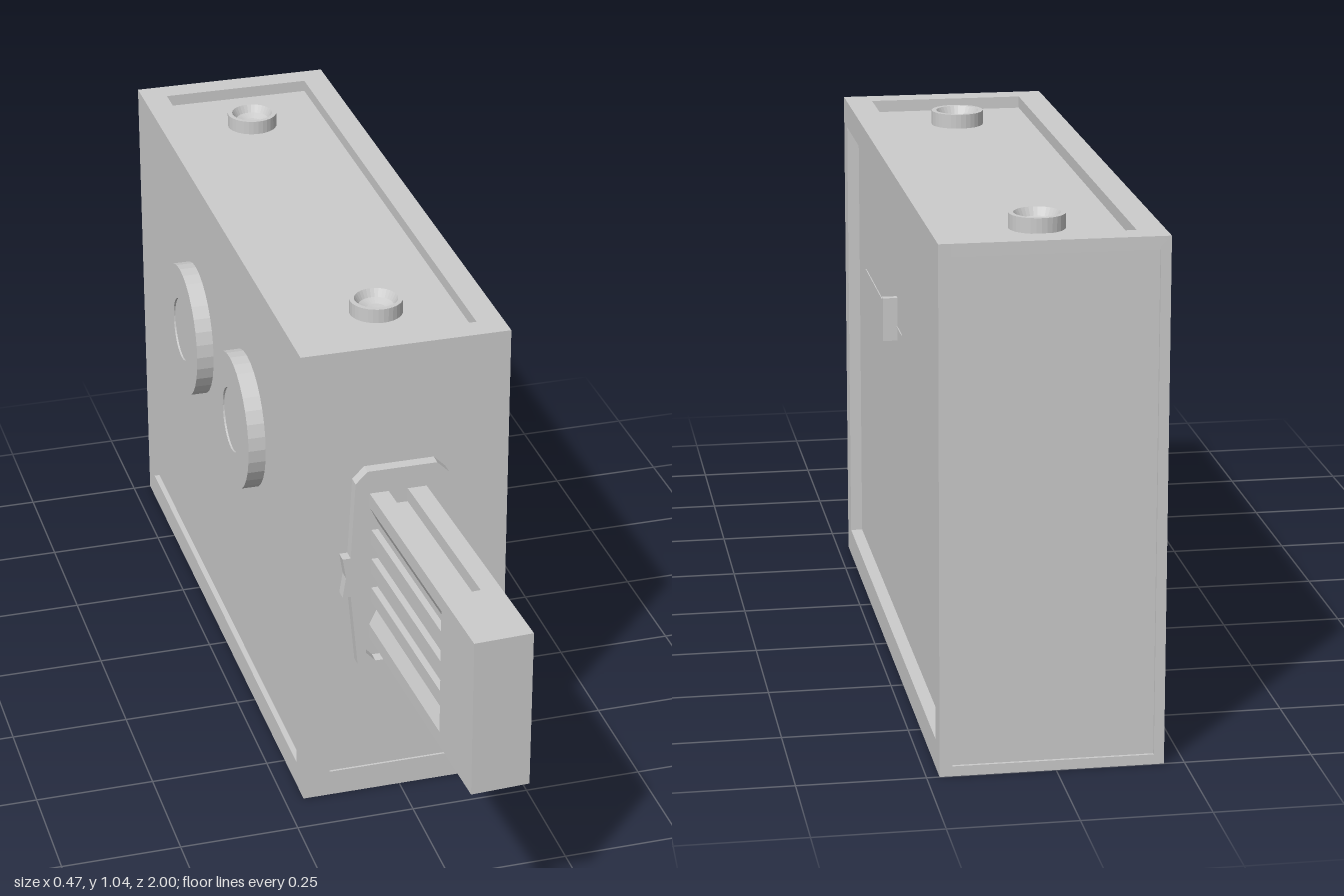
import * as THREE from 'three';

const mat = new THREE.MeshStandardMaterial({ color: 0xcccccc, flatShading: true });

function mesh(name, geometry, x = 0, y = 0, z = 0) {
  const m = new THREE.Mesh(geometry, mat);
  m.name = name;
  m.position.set(x, y, z);
  return m;
}

const points = (list) => list.map(([x, y]) => new THREE.Vector2(x, y));
const extrude = (shape, depth) => new THREE.ExtrudeGeometry(shape, { depth, bevelEnabled: false });

// Rectangular rim of given border width, centred, rising along +z
function rim(w, h, bx, by, depth) {
  const rect = (a, b) => points([[-a, -b], [a, -b], [a, b], [-a, b]]);
  const shape = new THREE.Shape(rect(w / 2, h / 2));
  shape.holes.push(new THREE.Path(rect(w / 2 - bx, h / 2 - by)));
  return extrude(shape, depth);
}

// Case limits and how far each panel sits below its rim
const X0 = -0.21, X1 = 0.225, H = 1.04, Z0 = -1, Z1 = 0.4;
const W = X1 - X0, D = Z1 - Z0, CX = (X0 + X1) / 2, CZ = (Z0 + Z1) / 2;
const inset = { left: 0.025, right: 0.012, top: 0.025, bottom: 0.02, front: 0.005, back: 0.006 };

function createCase() {
  const g = new THREE.Group();
  g.name = 'case';
  const w = W - inset.left - inset.right, h = H - inset.top - inset.bottom, d = D - inset.front - inset.back;
  g.add(mesh('panels', new THREE.BoxGeometry(w, h, d),
    X0 + inset.right + w / 2, inset.bottom + h / 2, Z0 + inset.back + d / 2));

  const addRim = (name, geometry, pos, rx, ry) => {
    const m = mesh(name, geometry, ...pos);
    m.rotation.set(rx, ry, 0);
    g.add(m);
  };
  const q = Math.PI / 2;
  addRim('leftRim', rim(D, H, 0.053, 0.057, inset.left), [X1 - inset.left, H / 2, CZ], 0, q);
  addRim('rightRim', rim(D, H, 0.053, 0.057, inset.right), [X0 + inset.right, H / 2, CZ], 0, -q);
  addRim('topRim', rim(W, D, 0.055, 0.055, inset.top), [CX, H - inset.top, CZ], -q, 0);
  addRim('bottomRim', rim(W, D, 0.055, 0.055, inset.bottom), [CX, inset.bottom, CZ], q, 0);
  addRim('frontRim', rim(W, H, 0.057, 0.057, inset.front), [CX, H / 2, Z1 - inset.front], 0, 0);
  addRim('backRim', rim(W, H, 0.02, 0.02, inset.back), [CX, H / 2, Z0 + inset.back], 0, Math.PI);
  return g;
}

// Chamfered collar with small side ears around the plug
function createCollar() {
  const half = [[0.068, -0.24], [0.093, -0.21], [0.108, -0.045], [0.125, -0.045],
    [0.118, 0], [0.125, 0.045], [0.108, 0.045], [0.098, 0.215], [0.073, 0.24]];
  const hole = [[0.055, -0.207], [0.075, -0.185], [0.075, 0.185], [0.055, 0.207]];
  const mirrored = (p) => points([...p, ...p.map(([x, y]) => [-x, y]).reverse()]);
  const shape = new THREE.Shape(mirrored(half));
  shape.holes.push(new THREE.Path(mirrored(hole)));
  return mesh('collar', extrude(shape, 0.025), -0.005, 0.535, 0.395);
}

// Plug: slightly turned bar with ribbed grips, slots above and below, solid end
function createPlug() {
  const g = new THREE.Group();
  g.name = 'plug';
  const hx = 0.06, hy = 0.17, inner = 0.042;
  const side = [[0.02, -hy + 0.03], [0.02, -hy], [hx, -hy], [hx, -hy + 0.032], [inner, -0.1]];
  for (const y of [-0.068, 0, 0.068]) {
    side.push([inner, y - 0.017], [hx - 0.004, y - 0.017], [hx - 0.004, y + 0.017], [inner, y + 0.017]);
  }
  side.push([inner, 0.1], [hx, hy - 0.032], [hx, hy], [0.02, hy], [0.02, hy - 0.03]);
  const outline = points([...side, ...side.map(([x, y]) => [-x, y]).reverse()]);
  g.add(mesh('ribbedGrip', extrude(new THREE.Shape(outline), 0.43), 0, 0, -0.03));
  g.add(mesh('plugEnd', new THREE.BoxGeometry(2 * hx, 2 * hy, 0.18), 0, 0, 0.488));
  g.position.set(-0.005, 0.54, 0.42);
  g.rotation.y = 0.043;
  return g;
}

export function createModel() {
  const model = new THREE.Group();
  model.name = 'boxWithPlug';
  model.add(createCase(), createCollar(), createPlug());

  // Dished buttons on the top panel
  const cup = points([[0.055, 0], [0.055, 0.03], [0.045, 0.03], [0.036, 0.014], [0.02, 0.007], [0, 0.005]]);
  for (const z of [-0.79, 0.195]) {
    model.add(mesh('topButton', new THREE.LatheGeometry(cup, 32), 0.005, H - inset.top, z));
  }

  // Round knobs on the right side, each with a shallow centre
  const knob = points([[0.148, 0], [0.148, 0.037], [0.07, 0.037], [0.07, 0.033], [0, 0.033]]);
  for (const z of [-0.517, -0.073]) {
    const m = mesh('sideKnob', new THREE.LatheGeometry(knob, 32), X0 + inset.right, 0.663, z);
    m.rotation.z = Math.PI / 2;
    model.add(m);
  }

  // Slider tab and its thin track on the left side
  const panelX = X1 - inset.left;
  model.add(mesh('sliderTab', new THREE.BoxGeometry(0.04, 0.09, 0.015), panelX + 0.01, 0.707, -0.258));
  model.add(mesh('sliderTrack', new THREE.BoxGeometry(0.004, 0.003, 0.56), panelX, 0.69, -0.05));
  return model;
}
